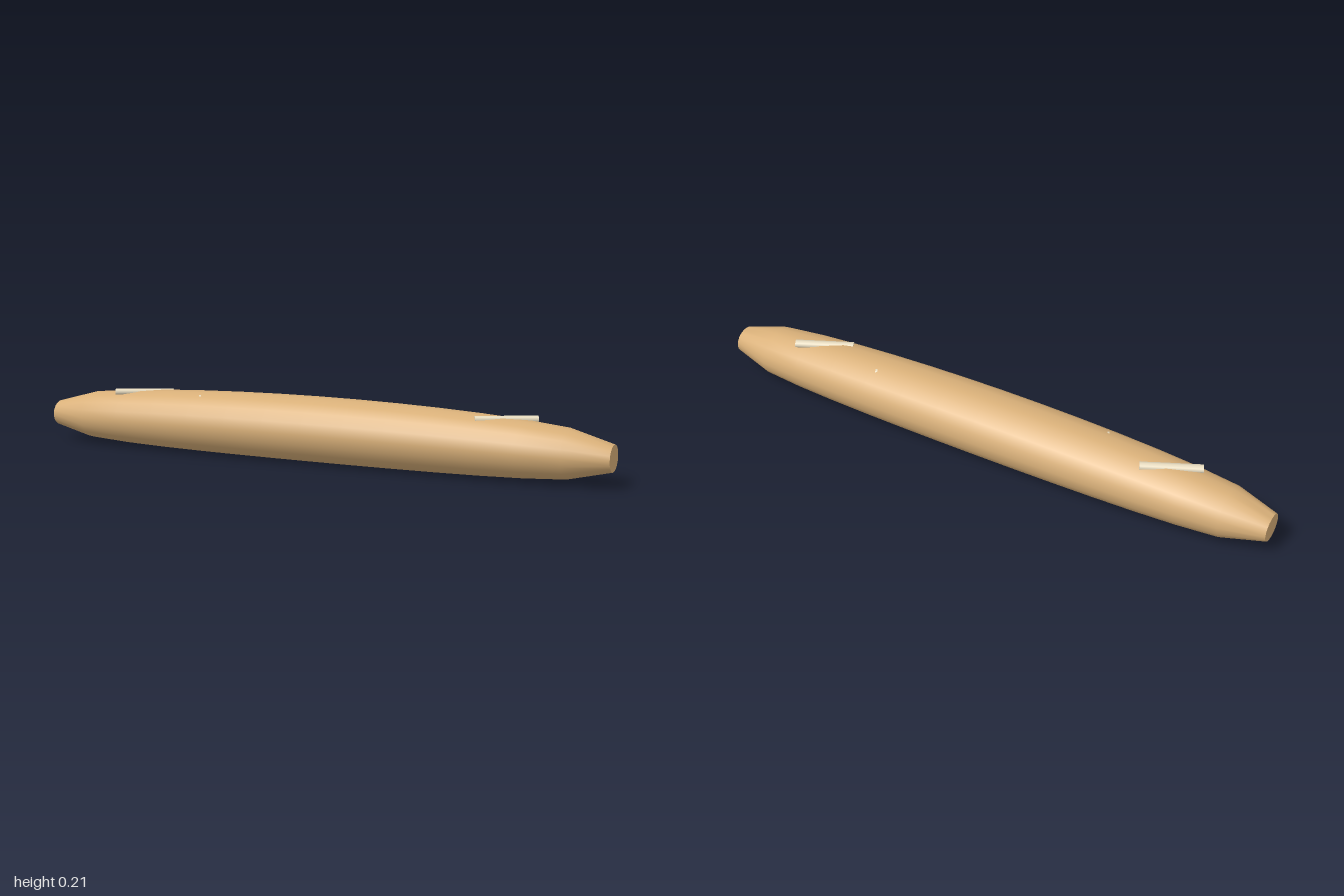
import * as THREE from 'three';
import { toCreasedNormals } from 'three/addons/utils/BufferGeometryUtils.js';

export function createModel() {
  const crust = new THREE.MeshStandardMaterial({ color: 0xd9b079 });
  crust.name = 'golden crust';
  const crumb = new THREE.MeshStandardMaterial({ color: 0xe8dcc0 });
  crumb.name = 'pale crumb';

  const model = new THREE.Group();
  model.name = 'baguette';

  // Loaf: a cylinder along x, tapered to blunt ends and bowed up in the middle
  const geo = new THREE.CylinderGeometry(1, 1, 2, 18, 14).rotateZ(Math.PI / 2);
  const pos = geo.attributes.position;
  for (let i = 0; i < pos.count; i++) {
    const x = pos.getX(i);
    const bulge = Math.max(0, Math.cos((x * Math.PI) / 2));
    const radius = 0.126 * Math.max(0.4, Math.pow(bulge, 0.2));
    const centreY = 0.092 + 0.0145 * bulge;
    pos.setXYZ(i, x, centreY + pos.getY(i) * radius * 0.857, pos.getZ(i) * radius);
  }
  const loaf = new THREE.Mesh(toCreasedNormals(geo, 0.9), crust);
  loaf.name = 'loaf';
  model.add(loaf);

  // Slanted score marks, mostly sunk into the top of the loaf
  const slashGeo = new THREE.CylinderGeometry(0.017, 0.017, 0.2, 8)
    .rotateZ(Math.PI / 2)
    .scale(1, 0.65, 1);
  for (const x of [-0.655, -0.327, 0, 0.327, 0.655]) {
    const slash = new THREE.Mesh(slashGeo, crumb);
    slash.name = 'scoreMark';
    slash.position.set(x, 0.188, 0);
    slash.rotation.y = 0.45;
    model.add(slash);
  }
  return model;
}
